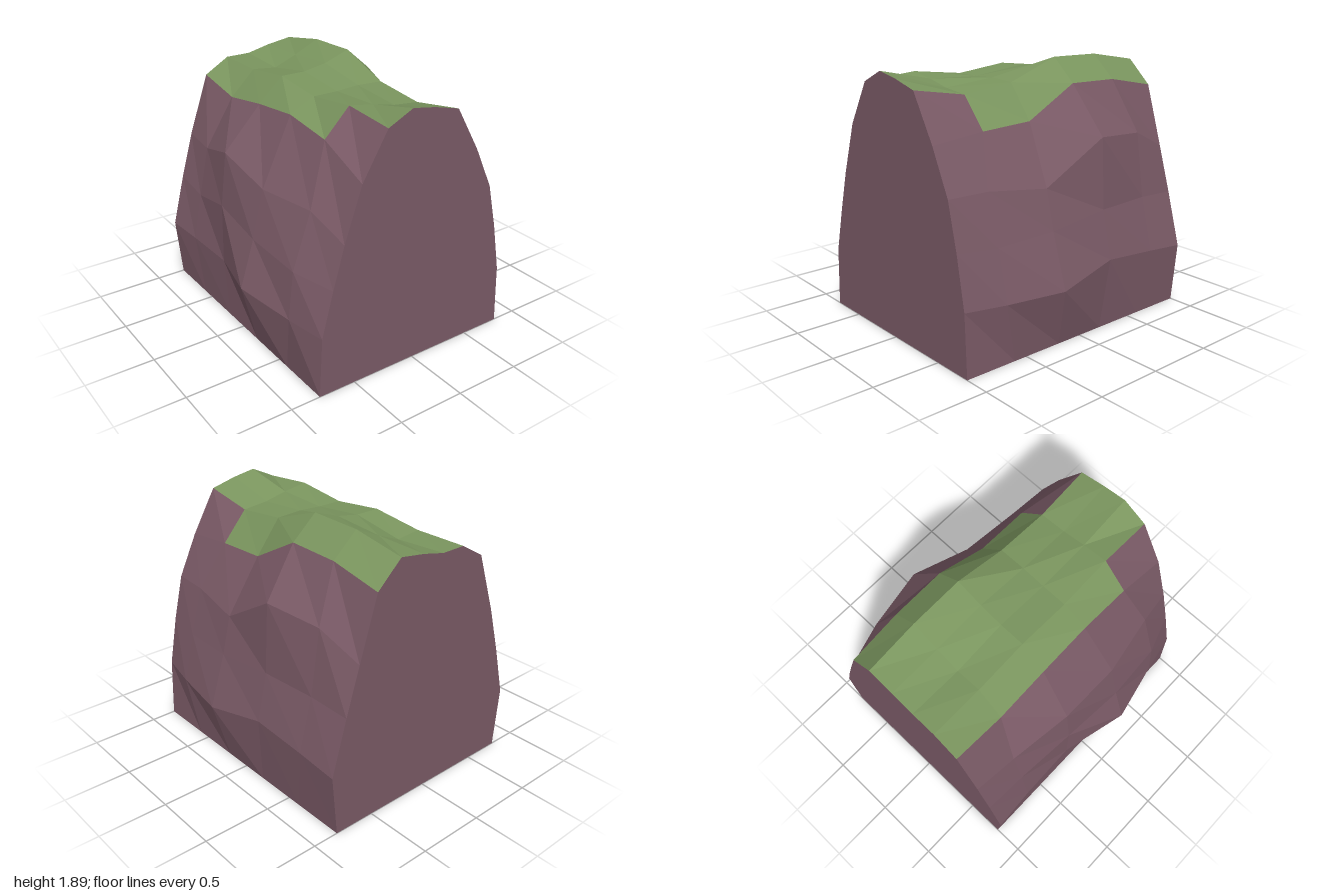
import * as THREE from 'three';

const Z = [1, 0.6, 0.2, -0.2, -0.6, -1];          // stations along the ridge
const Z_SIDE = [1, 0.7, 0.25, -0.24, -0.68, -1];  // the flank stations drift a little
const COLUMNS = [-0.46, -0.27, -0.08, 0.1, 0.3, 0.49];

// Crest heights: one row per station, one value per column
const CREST = [
  [1.45, 1.77, 1.86, 1.83, 1.78, 1.46],
  [1.61, 1.8, 1.77, 1.73, 1.71, 1.495],
  [1.66, 1.75, 1.75, 1.76, 1.75, 1.51],
  [1.62, 1.79, 1.79, 1.82, 1.89, 1.725],
  [1.56, 1.74, 1.72, 1.79, 1.88, 1.715],
  [1.63, 1.74, 1.74, 1.78, 1.81, 1.635],
];

// Flank points (x, y) per station, from low to high
const RIGHT_FLANK = [
  [[-0.76, 0.44], [-0.675, 0.77], [-0.59, 1.07]],
  [[-0.82, 0.45], [-0.78, 0.8], [-0.64, 1.2]],
  [[-0.92, 0.5], [-0.81, 0.85], [-0.72, 1.2]],
  [[-0.79, 0.45], [-0.78, 0.9], [-0.73, 1.3]],
  [[-0.8, 0.45], [-0.73, 0.8], [-0.65, 1.17]],
  [[-0.82, 0.455], [-0.72, 0.84], [-0.62, 1.18]],
];
const LEFT_FLANK = [
  [[0.79, 0.45], [0.72, 0.82], [0.64, 1.15]],
  [[0.85, 0.44], [0.76, 0.8], [0.66, 1.15]],
  [[0.915, 0.43], [0.79, 0.82], [0.72, 1.1]],
  [[0.86, 0.52], [0.78, 0.87], [0.75, 1.38]],
  [[0.85, 0.48], [0.75, 0.87], [0.68, 1.34]],
  [[0.85, 0.45], [0.735, 0.85], [0.63, 1.19]],
];

// Full cross-section, from the right foot over the crest to the left foot
function section(i) {
  const side = ([x, y]) => [x, y, Z_SIDE[i]];
  return [
    [-0.78, 0, Z[i]],
    ...RIGHT_FLANK[i].map(side),
    ...COLUMNS.map((x, j) => [x, CREST[i][j], Z[i]]),
    ...LEFT_FLANK[i].map(side).reverse(),
    [0.81, 0, Z[i]],
  ];
}

// Moss covers the crest; its outer columns start one station back
function isMoss(i, j) {
  return (j >= 5 && j <= 7) || (i > 0 && (j === 4 || j === 8));
}

function facets(positions, material, name) {
  const geometry = new THREE.BufferGeometry();
  geometry.setAttribute('position', new THREE.Float32BufferAttribute(positions, 3));
  geometry.computeVertexNormals();
  const mesh = new THREE.Mesh(geometry, material);
  mesh.name = name;
  return mesh;
}

export function createModel() {
  const rock = new THREE.MeshStandardMaterial({ color: 0x7a5a66, flatShading: true, side: THREE.DoubleSide });
  rock.name = 'mauve rock';
  const moss = new THREE.MeshStandardMaterial({ color: 0x7a955e, flatShading: true, side: THREE.DoubleSide });
  moss.name = 'moss green';

  const group = new THREE.Group();
  group.name = 'rockRidge';

  // Faceted skin between the stations
  const sections = Z.map((_, i) => section(i));
  const rockFaces = [], mossFaces = [];
  for (let i = 0; i < sections.length - 1; i++) {
    for (let j = 0; j < sections[i].length - 1; j++) {
      const a = sections[i][j], b = sections[i][j + 1];
      const c = sections[i + 1][j + 1], d = sections[i + 1][j];
      (isMoss(i, j) ? mossFaces : rockFaces).push(...a, ...b, ...c, ...a, ...c, ...d);
    }
  }
  group.add(facets(rockFaces, rock, 'rockFlanks'), facets(mossFaces, moss, 'mossTop'));

  // Flat cut ends; the underside stays open
  for (const [name, points, z] of [['frontEnd', sections[0], 1], ['backEnd', sections[5], -1]]) {
    const outline = new THREE.Shape(points.map(([x, y]) => new THREE.Vector2(z * x, y)));
    const end = new THREE.Mesh(new THREE.ShapeGeometry(outline), rock);
    end.name = name;
    end.position.z = z;
    if (z < 0) end.rotation.y = Math.PI;
    group.add(end);
  }
  return group;
}
